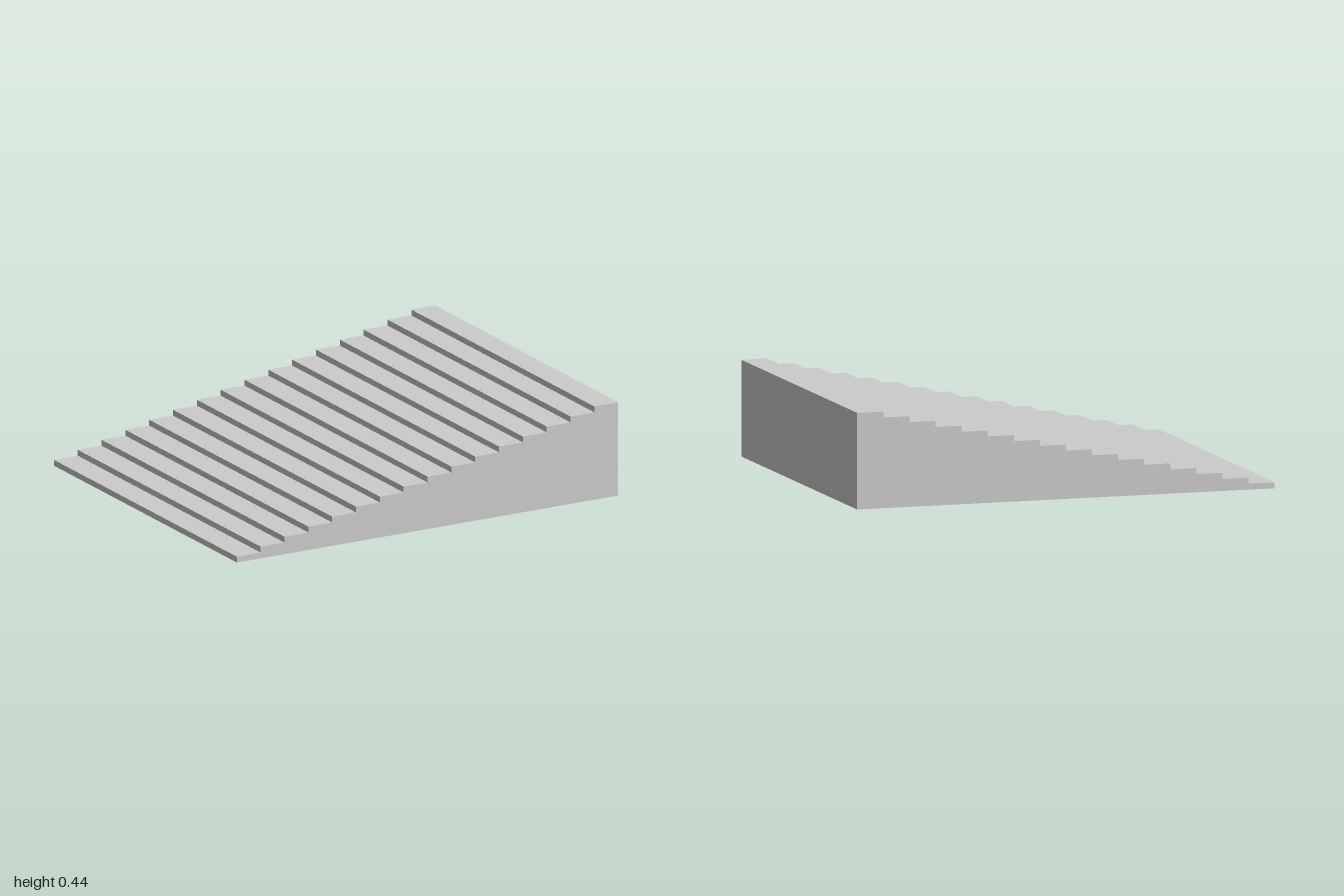
import * as THREE from 'three';

const STEPS = 16;
const LENGTH = 2;
const HEIGHT = 0.4444;
const DEPTH = 1.6667;

export function createModel() {
  const group = new THREE.Group();
  group.name = 'staircase';

  // Stepped side profile, rising towards +x
  const tread = LENGTH / STEPS;
  const riser = HEIGHT / STEPS;
  const profile = new THREE.Shape();
  profile.moveTo(LENGTH / 2, 0);
  for (let i = STEPS; i > 0; i--) {
    const x = -LENGTH / 2 + i * tread;
    profile.lineTo(x, i * riser);
    profile.lineTo(x - tread, i * riser);
  }
  profile.lineTo(-LENGTH / 2, 0);
  profile.closePath();

  // Solid flight of steps, extruded across the full width
  const geometry = new THREE.ExtrudeGeometry(profile, { depth: DEPTH, bevelEnabled: false });
  geometry.translate(0, 0, -DEPTH / 2);
  const material = new THREE.MeshStandardMaterial({ color: 0xcccccc, flatShading: true });
  const steps = new THREE.Mesh(geometry, material);
  steps.name = 'steps';
  group.add(steps);

  return group;
}
